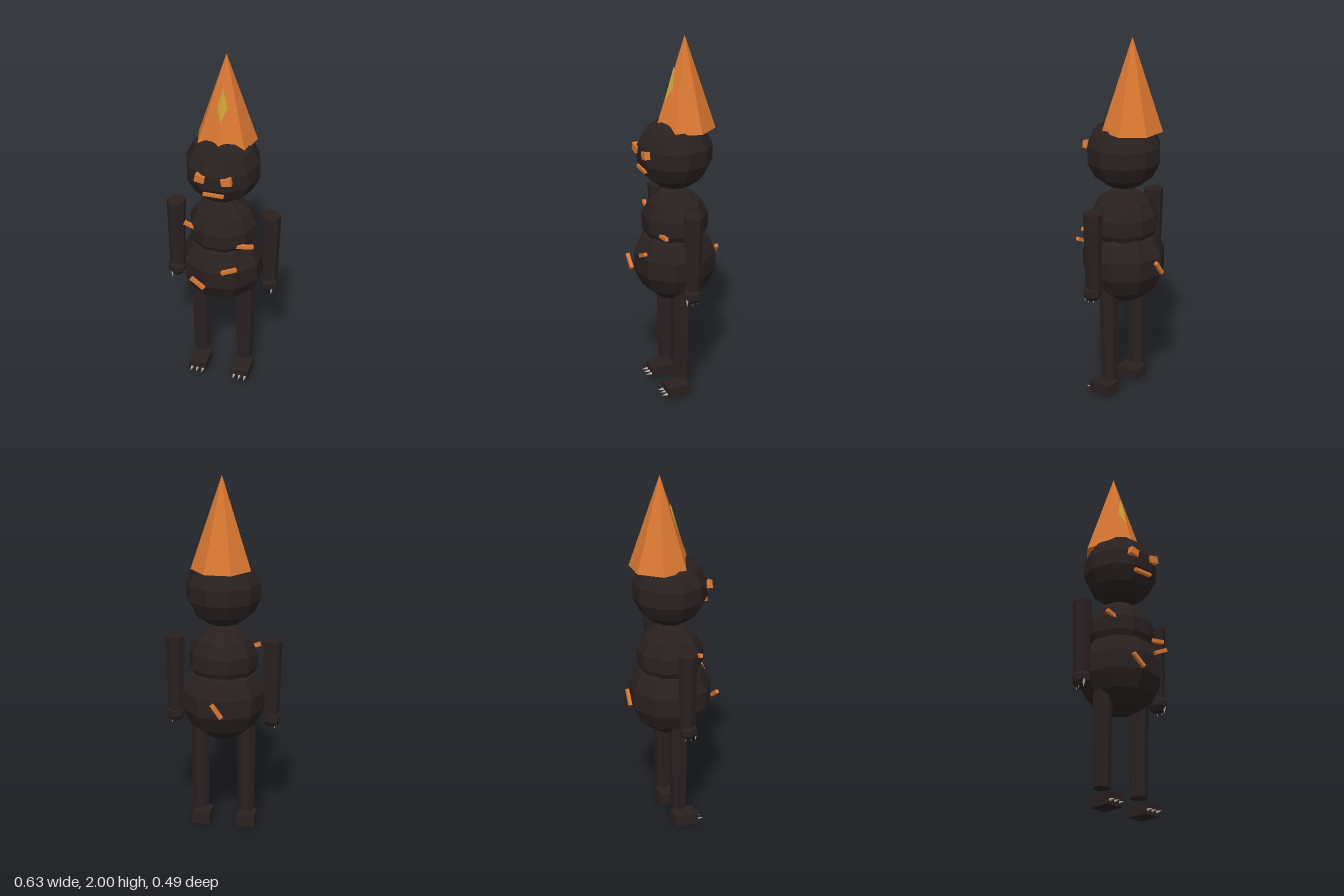
import * as THREE from 'three';

const mat = (name, color) => {
  const m = new THREE.MeshStandardMaterial({ color, flatShading: true });
  m.name = name;
  return m;
};

export function createModel() {
  const model = new THREE.Group();
  const dark = mat('charcoal', 0x2a2020);
  const orange = mat('orange', 0xd97731);
  const yellow = mat('ochre', 0xcaa037);
  const bone = mat('claw grey', 0xb4aca2);

  const add = (name, geo, material, pos, rot = [0, 0, 0], parent = model) => {
    const mesh = new THREE.Mesh(geo, material);
    mesh.name = name;
    mesh.position.set(...pos);
    mesh.rotation.set(...rot);
    parent.add(mesh);
    return mesh;
  };

  // Stacked faceted balls
  add('belly', new THREE.SphereGeometry(0.23, 9, 7), dark, [0, 0.775, 0]);
  add('chest', new THREE.SphereGeometry(0.19, 10, 7), dark, [0, 1.0, 0]).scale.set(1, 0.94, 0.96);
  add('head', new THREE.SphereGeometry(0.204, 10, 7), dark, [0, 1.38, 0]).scale.y = 0.96;

  // Pointed hat with a smaller spike in front
  add('hat', new THREE.ConeGeometry(0.163, 0.49, 7), orange, [0, 1.755, -0.055]);
  add('hatSpike', new THREE.ConeGeometry(0.1, 0.34, 6), yellow, [0, 1.67, 0.005]);

  // Face
  for (const s of [-1, 1]) {
    add(s < 0 ? 'rightEye' : 'leftEye', new THREE.BoxGeometry(0.052, 0.04, 0.03), orange,
      [s * 0.07, 1.405, 0.188], [0, 0, s * 0.2]);
  }
  add('mouth', new THREE.BoxGeometry(0.11, 0.018, 0.025), orange, [0, 1.31, 0.18]);

  // Body stitches: centre, tilt, length
  const stitches = [
    [[-0.077, 0.758, 0.232], -0.66, 0.09],
    [[0.092, 0.86, 0.216], 0.46, 0.09],
    [[0.153, 0.969, 0.123], 0.16, 0.095],
    [[-0.15, 1.038, 0.108], -0.35, 0.075],
    [[0, 0.78, -0.236], 0.95, 0.09],
  ];
  stitches.forEach(([pos, tilt, len], i) =>
    add('stitch' + (i + 1), new THREE.BoxGeometry(len, 0.02, 0.018), orange, pos, [0, 0, tilt]));

  // Limbs
  for (const s of [-1, 1]) {
    const side = s < 0 ? 'right' : 'left';
    add(side + 'Arm', new THREE.CylinderGeometry(0.053, 0.041, 0.46, 7), dark, [s * 0.263, 0.88, 0],
      [0, s < 0 ? 0.35 : 0.1, 0]);
    add(side + 'Hand', new THREE.SphereGeometry(0.053, 7, 5), dark, [s * 0.265, 0.668, 0.005]);
    for (const k of [-1, 0, 1]) {
      add(side + 'FingerClaw', new THREE.ConeGeometry(0.01, 0.045, 5), bone,
        [s * 0.27 + s * (k === 0 ? 0.02 : 0.012), 0.632, 0.012 + k * 0.028], [Math.PI, 0, 0]);
    }

    add(side + 'Leg', new THREE.CylinderGeometry(0.054, 0.046, 0.54, 7), dark, [s * 0.126, 0.385, 0.004]);
    add(side + 'Foot', new THREE.BoxGeometry(0.1, 0.064, 0.13), dark, [s * 0.125, 0.039, 0.04], [0.04, 0, 0]);
    for (const k of [-1, 0, 1]) {
      add(side + 'ToeClaw', new THREE.ConeGeometry(0.01, 0.042, 5), bone,
        [s * 0.125 + k * 0.032, 0.027, 0.118], [Math.PI / 2, 0, 0]);
    }
  }

  return model;
}
